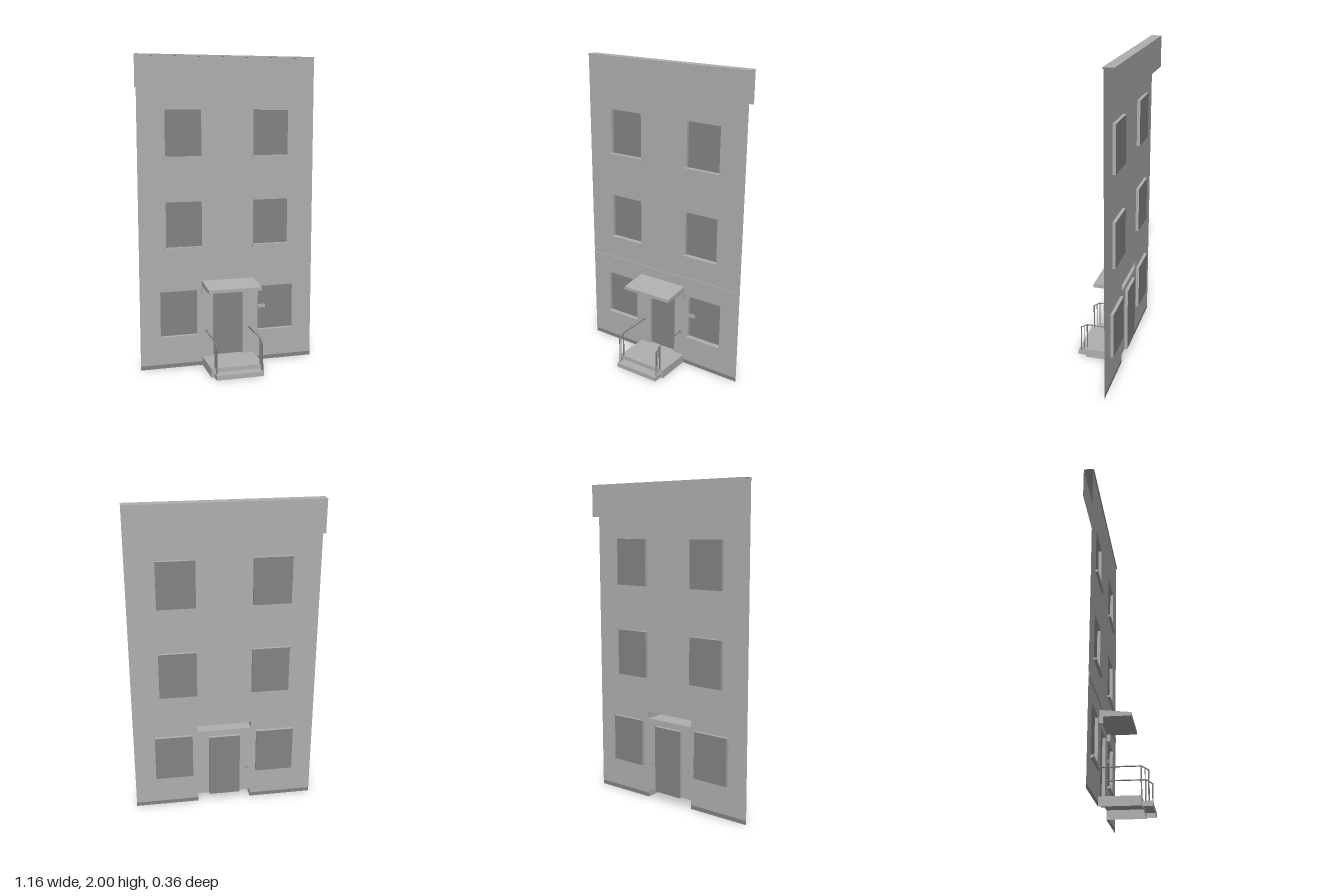
import * as THREE from 'three';

const mat = (name, color) => new THREE.MeshStandardMaterial({ name, color, side: THREE.DoubleSide });

const WALL_Z = -0.125, GLASS_Z = -0.145;

export function createModel() {
  const root = new THREE.Group();
  root.name = 'townhouseFront';
  const stone = mat('lightStone', 0xb0b0b0);
  const dark = mat('darkGrey', 0x848484);

  const add = (name, geo, material, parent = root) => {
    const mesh = new THREE.Mesh(geo, material);
    mesh.name = name;
    parent.add(mesh);
    return mesh;
  };

  // Box given by its limits; "omit" lists open faces (0 +x, 1 -x, 2 +y, 3 -y, 4 +z, 5 -z)
  const box = (x0, x1, y0, y1, z0, z1, omit = []) => {
    const g = new THREE.BoxGeometry(x1 - x0, y1 - y0, z1 - z0);
    const index = Array.from(g.index.array).filter((_, i) => !omit.includes(Math.floor(i / 6)));
    g.setIndex(index);
    g.clearGroups();
    return g.translate((x0 + x1) / 2, (y0 + y1) / 2, (z0 + z1) / 2);
  };

  // Upright sheet facing the front
  const sheet = (x0, x1, y0, y1, z) =>
    new THREE.PlaneGeometry(x1 - x0, y1 - y0).translate((x0 + x1) / 2, (y0 + y1) / 2, z);

  // Openings as [x0, x1, y0, y1]
  const windows = [];
  for (const [y0, y1] of [[1.372, 1.663], [0.792, 1.085]]) {
    windows.push([-0.405, -0.172, y0, y1], [0.172, 0.405, y0, y1]);
  }
  windows.push([-0.448, -0.208, 0.21, 0.507], [0.206, 0.446, 0.21, 0.507]);
  const door = [-0.1, 0.1, 0.057, 0.487];
  const canopySlot = [-0.173, 0.173, 0.525, 0.567];

  // Thin wall with a notch at the stoop and a hole for every opening
  const outline = new THREE.Shape([
    [-0.58, 0.026], [-0.173, 0.026], [-0.173, 0.057], [0.173, 0.057], [0.173, 0.026],
    [0.58, 0.026], [0.58, 2], [-0.58, 2],
  ].map(([x, y]) => new THREE.Vector2(x, y)));
  // Door hole starts a hair above the notch edge
  for (const [x0, x1, y0, y1] of [...windows, [-0.1, 0.1, 0.0575, 0.487], canopySlot]) {
    outline.holes.push(new THREE.Path([[x0, y0], [x0, y1], [x1, y1], [x1, y0]]
      .map(([x, y]) => new THREE.Vector2(x, y))));
  }
  add('facadeWall', new THREE.ShapeGeometry(outline).translate(0, 0, WALL_Z), stone);
  for (const s of [-1, 1]) {
    add('plinth', sheet(Math.min(s * 0.173, s * 0.58), Math.max(s * 0.173, s * 0.58), 0, 0.026, WALL_Z), dark);
  }

  // Recessed panes with reveals
  const recess = (name, [x0, x1, y0, y1]) => {
    const g = new THREE.Group();
    g.name = name;
    add('reveal', box(x0, x1, y0, y1, GLASS_Z, WALL_Z, [4, 5]), stone, g);
    add('panel', sheet(x0, x1, y0, y1, GLASS_Z), dark, g);
    root.add(g);
    return g;
  };
  for (const w of windows) {
    const g = recess('window', w);
    const over = w[2] < 0.5 ? 0.004 : 0.01;
    add('sill', box(w[0] - over, w[1] + over, w[2] - 0.013, w[2] + 0.002, WALL_Z, -0.109), stone, g);
  }
  recess('door', door);

  // String course and roof edge
  add('stringCourse', box(-0.577, 0.577, 0.607, 0.637, WALL_Z, -0.119), stone);
  add('roofEdge', box(-0.58, 0.58, 1.99, 2, WALL_Z, -0.119), stone);
  add('roofTop', new THREE.PlaneGeometry(1.16, 0.058).rotateX(-Math.PI / 2).translate(0, 2, -0.154), stone);
  add('roofBackPanel', sheet(-0.58, 0.58, 1.8, 2, -0.183), stone);

  // Sloping canopy, open towards the wall
  const canopy = box(-0.173, 0.173, 0.525, 0.567, WALL_Z, 0.062, [5]);
  const p = canopy.attributes.position;
  for (let i = 0; i < p.count; i++) {
    if (p.getZ(i) > 0 && p.getY(i) > 0.55) p.setY(i, 0.546);
  }
  canopy.computeVertexNormals();
  add('canopy', canopy, stone);
  for (const s of [-1, 1]) {
    const x = s * 0.165;
    add('canopyBracket', box(x - 0.013, x + 0.013, 0.48, 0.525, WALL_Z, -0.103), stone);
  }

  // Small plate beside the door
  add('wallPlate', box(0.206, 0.257, 0.36, 0.382, -0.13, -0.121), stone);

  // Stoop, open underneath and at the back
  add('landing', box(-0.173, 0.173, 0, 0.057, WALL_Z, 0.117, [3, 5]), stone);
  add('lowerStep', box(-0.154, 0.154, 0, 0.03, 0.117, 0.177, [3, 5]), stone);

  // Handrails with two posts each
  for (const s of [-1, 1]) {
    const rail = new THREE.Group();
    rail.name = 'handrail';
    rail.position.x = s * 0.148;
    const path = new THREE.CurvePath();
    const pts = [[0.23, WALL_Z], [0.23, 0.117], [0.205, 0.156]].map(([y, z]) => new THREE.Vector3(0, y, z));
    path.add(new THREE.LineCurve3(pts[0], pts[1]));
    path.add(new THREE.LineCurve3(pts[1], pts[2]));
    add('topRail', new THREE.TubeGeometry(path, 24, 0.004, 8), dark, rail);
    for (const [z, y0, y1] of [[0.156, 0.03, 0.207], [0.136, 0.03, 0.218], [0.115, 0.057, 0.23]]) {
      const r = z === 0.136 ? 0.002 : 0.004;
      add('post', new THREE.CylinderGeometry(r, r, y1 - y0, 8).translate(0, (y0 + y1) / 2, z), dark, rail);
    }
    add('wallFlange', new THREE.CylinderGeometry(0.008, 0.008, 0.006, 12)
      .rotateX(Math.PI / 2).translate(0, 0.23, WALL_Z + 0.003), dark, rail);
    root.add(rail);
  }
  return root;
}
